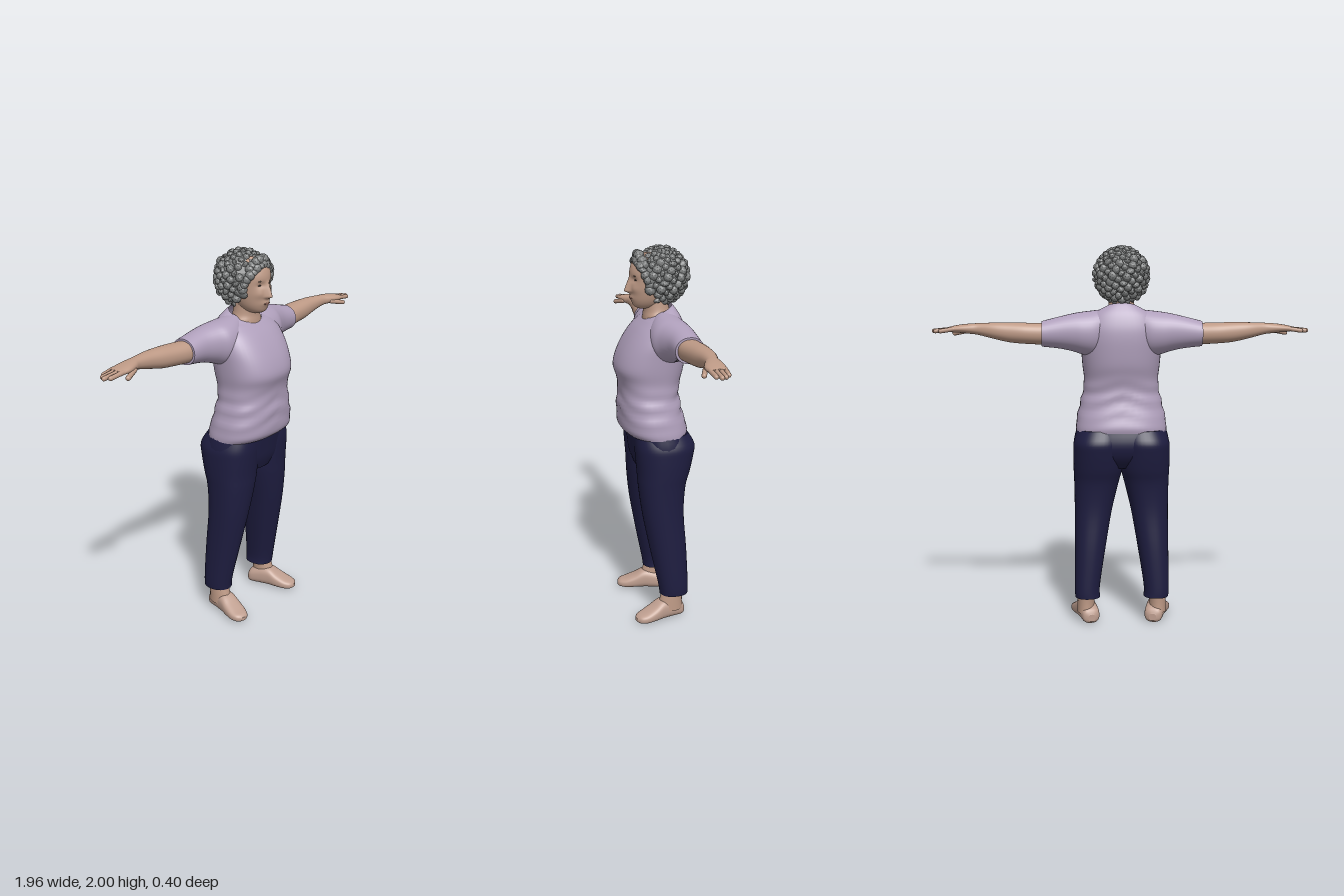
import * as THREE from 'three';

const mat = (name, color, extra = {}) => Object.assign(new THREE.MeshStandardMaterial({ color, ...extra }), { name });
const gauss = (v, c, w) => Math.exp(-(((v - c) / w) ** 2));

// Catmull-Rom blend of rows of numbers
function blend(rows, t) {
  const n = rows.length - 1, i = Math.min(Math.floor(t * n), n - 1), f = t * n - i;
  const at = k => rows[Math.max(0, Math.min(n, k))];
  return rows[i].map((p1, k) => {
    const p0 = at(i - 1)[k], p2 = at(i + 1)[k], p3 = at(i + 2)[k];
    return p1 + 0.5 * f * (p2 - p0 + f * (2 * p0 - 5 * p1 + 4 * p2 - p3 + f * (3 * (p1 - p2) + p3 - p0)));
  });
}

// Skin over oval rings: [position on axis, a0, a1, b0, b1, tilt]; (a, b) = (x,z) on y, (z,y) on x, (y,x) on z
function loft(axis, rows, { exp = 2, steps = 4, seg = 36, warp, capTop = true } = {}) {
  const pos = [], idx = [], n = (rows.length - 1) * steps, W = seg + 1;
  const order = { y: ['x', 'z'], x: ['z', 'y'], z: ['y', 'x'] }[axis];
  const sup = v => Math.sign(v) * Math.abs(v) ** (2 / exp);
  const p = new THREE.Vector3();
  for (let i = 0; i <= n; i++) {
    const [s, a0, a1, b0, b1, tilt = 0] = blend(rows, i / n);
    for (let j = 0; j <= seg; j++) {
      const t = (j % seg) / seg * Math.PI * 2, c = sup(Math.cos(t)), d = sup(Math.sin(t));
      p[axis] = s + tilt * d;
      p[order[0]] = (a0 + a1) / 2 + c * (a1 - a0) / 2;
      p[order[1]] = (b0 + b1) / 2 + d * (b1 - b0) / 2;
      if (warp) warp(p, t);
      pos.push(p.x, p.y, p.z);
      if (i < n && j < seg) {
        const k = i * W + j;
        idx.push(k, k + W, k + 1, k + 1, k + W, k + W + 1);
      }
    }
  }
  // flat end caps with their own corners
  for (const [row, top] of [[0, false], [n, true]]) {
    if (top && !capTop) continue;
    const base = pos.length / 3, mid = [0, 0, 0];
    for (let j = 0; j < seg; j++) for (let k = 0; k < 3; k++) {
      const v = pos[(row * W + j) * 3 + k];
      mid[k] += v / seg;
      pos.push(v);
    }
    pos.push(...mid);
    for (let j = 0; j < seg; j++) {
      const u = base + j, v = base + (j + 1) % seg;
      idx.push(base + seg, ...(top ? [v, u] : [u, v]));
    }
  }
  const g = new THREE.BufferGeometry();
  g.setAttribute('position', new THREE.Float32BufferAttribute(pos, 3));
  g.setIndex(idx);
  g.computeVertexNormals();
  // join the normals along the seam
  const nm = g.attributes.normal;
  for (let i = 0; i <= n; i++) {
    const a = new THREE.Vector3().fromBufferAttribute(nm, i * W);
    a.add(new THREE.Vector3().fromBufferAttribute(nm, i * W + seg)).normalize();
    nm.setXYZ(i * W, a.x, a.y, a.z);
    nm.setXYZ(i * W + seg, a.x, a.y, a.z);
  }
  return g;
}

// Mirrored copy across x = 0 with the corner order put right
function mirrored(geo) {
  const g = geo.clone(), p = g.attributes.position, n = g.attributes.normal, a = g.index.array;
  for (let i = 0; i < p.count; i++) { p.setX(i, -p.getX(i)); n.setX(i, -n.getX(i)); }
  for (let i = 0; i < a.length; i += 3) [a[i], a[i + 1]] = [a[i + 1], a[i]];
  return g;
}

// Rounded finger between two points
function finger(from, to, r) {
  const a = new THREE.Vector3(...from), d = new THREE.Vector3(...to).sub(a), len = d.length();
  const g = new THREE.CapsuleGeometry(r, len - r, 5, 10);
  g.applyQuaternion(new THREE.Quaternion().setFromUnitVectors(new THREE.Vector3(0, 1, 0), d.clone().normalize()));
  return g.translate(...a.addScaledVector(d, 0.5).toArray());
}

const ellipsoid = (x, y, z, rx, ry, rz) => new THREE.SphereGeometry(1, 16, 10).scale(rx, ry, rz).translate(x, y, z);

export function createModel() {
  const root = new THREE.Group();
  const skin = mat('skin', 0xbe9a86), shirt = mat('lilac shirt', 0xaf9fbb, { side: THREE.DoubleSide });
  const navy = mat('navy trousers', 0x1e1d40), grey = mat('grey hair', 0x7f8181, { flatShading: true });
  const shoe = mat('beige shoe', 0xbf9f90), lip = mat('lips', 0x9a6a60);
  const brow = mat('brow', 0x6f5f56), eye = mat('eye', 0x3c322e);
  const add = (name, geo, m) => {
    const mesh = new THREE.Mesh(geo, m);
    mesh.name = name;
    root.add(mesh);
  };
  const pair = (name, geo, m) => { add(name + 'Left', geo, m); add(name + 'Right', mirrored(geo), m); };

  // shirt body with soft waist folds
  const sym = rows => rows.map(([y, w, ...rest]) => [y, -w, w, ...rest]);
  add('shirtBody', loft('y', sym([
    [1.03, .24, -.17, .148, 0], [1.06, .24, -.173, .175, 0], [1.12, .232, -.155, .18, 0],
    [1.2, .212, -.135, .18, 0], [1.26, .2, -.13, .174, 0], [1.32, .198, -.14, .183, 0],
    [1.38, .205, -.155, .2, 0], [1.45, .21, -.163, .182, 0], [1.52, .213, -.166, .145, 0],
    [1.58, .203, -.16, .1, 0], [1.63, .17, -.14, .058, -.012], [1.655, .125, -.115, .045, -.028],
    [1.667, .09, -.1, .042, -.035]]), {
    exp: 2.4, seg: 48, capTop: false,
    warp: p => {
      const f = .004 * gauss(p.y, 1.19, .09);
      p.z += f * Math.sin(p.y * 75 + Math.abs(p.x) * 25);
      p.x += f * Math.sin(p.y * 80) * Math.sign(p.x);
    },
  }), shirt);
  pair('sleeve', loft('x', [
    [.08, -.13, .03, 1.46, 1.672], [.14, -.155, .055, 1.43, 1.665], [.2, -.162, .052, 1.435, 1.658],
    [.25, -.16, .025, 1.452, 1.65], [.32, -.157, 0, 1.468, 1.634], [.415, -.156, -.008, 1.479, 1.61]], { exp: 2.1 }), shirt);

  // trousers: hips and creased legs
  add('trouserHips', loft('y', sym([
    [.84, .13, -.12, .095], [.9, .235, -.165, .115], [.97, .253, -.182, .125], [1.05, .236, -.163, .135]]), { exp: 2.3 }), navy);
  pair('trouserLeg', loft('y', [
    [.14, .117, .25, -.15, 0], [.2, .118, .253, -.15, .008], [.4, .087, .251, -.143, .048],
    [.6, .052, .25, -.131, .086], [.75, .016, .252, -.143, .105], [.83, -.004, .255, -.166, .11],
    [.92, -.01, .256, -.187, .118], [.98, -.01, .252, -.193, .122], [1.04, 0, .225, -.16, .12]], {
    exp: 2.3, seg: 48,
    warp: (p, t) => { p.z += .006 * Math.max(0, Math.sin(t)) ** 30 * gauss(p.y, .4, .35); },
  }), navy);

  // shoes turned slightly outward, with ankles above
  pair('ankle', loft('y', [[.05, .145, .24, -.12, .02], [.11, .148, .238, -.118, .005], [.2, .145, .235, -.125, -.02]]), skin);
  const shoeGeo = loft('z', [
    [-.133, .012, .05, -.02, .02], [-.115, 0, .08, -.046, .046], [-.05, 0, .105, -.05, .05],
    [0, 0, .108, -.05, .052], [.05, 0, .08, -.053, .056], [.1, 0, .057, -.05, .054],
    [.135, .004, .045, -.036, .04], [.15, .012, .032, -.014, .016]], { exp: 2.6 });
  pair('shoe', shoeGeo.rotateY(.25).translate(.195, 0, 0), shoe);

  // arms and hands
  pair('arm', loft('x', [
    [.36, -.14, -.022, 1.492, 1.6], [.42, -.146, -.02, 1.49, 1.6], [.5, -.153, -.03, 1.494, 1.602],
    [.58, -.147, -.04, 1.502, 1.604], [.66, -.138, -.05, 1.52, 1.603], [.74, -.118, -.05, 1.54, 1.6],
    [.78, -.118, -.036, 1.545, 1.598], [.83, -.118, -.02, 1.55, 1.593], [.875, -.113, -.021, 1.553, 1.585],
    [.895, -.1, -.03, 1.558, 1.579]], { exp: 2.2 }), skin);
  [[-.105, .938], [-.08, .966], [-.056, .976], [-.032, .955]].forEach(([z, tip], i) =>
    pair('finger' + (i + 1), finger([.86, 1.571, z], [tip, 1.559, z * .85 - .01], .0115), skin));
  pair('thumb', finger([.79, 1.562, -.04], [.875, 1.545, -.005], .0125), skin);

  // neck and head with nose, eye sockets and cheeks
  add('neck', loft('y', sym([
    [1.6, .1, -.11, .05], [1.64, .088, -.1, .047], [1.67, .072, -.09, .045], [1.72, .066, -.085, .05], [1.77, .066, -.08, .05]])), skin);
  add('head', loft('y', sym([
    [1.682, .03, -.03, .075], [1.695, .052, -.05, .096], [1.725, .072, -.075, .108], [1.77, .086, -.1, .113],
    [1.82, .092, -.11, .115], [1.88, .092, -.11, .114], [1.93, .078, -.1, .093], [1.965, .04, -.06, .05]]), {
    seg: 96, steps: 10,
    warp: p => {
      if (p.z < .03) return;
      const x = Math.abs(p.x);
      const rise = p.y < 1.773 ? gauss(p.y, 1.773, .011) : Math.max(0, 1 - (p.y - 1.773) / .08);
      p.z += .033 * rise * gauss(x, 0, .011 + .007 * rise);
      p.z -= .01 * gauss(x, .036, .02) * gauss(p.y, 1.832, .015);
      p.z += .006 * gauss(x, .045, .022) * gauss(p.y, 1.785, .02);
      p.z += .006 * gauss(x, 0, .03) * gauss(p.y, 1.737, .014);
    },
  }), skin);
  pair('eye', ellipsoid(.036, 1.83, .093, .013, .0045, .006), eye);
  pair('eyebrow', ellipsoid(.038, 1.852, .1, .017, .003, .006).rotateZ(0), brow);
  add('lips', ellipsoid(0, 1.735, .112, .024, .005, .005), lip);

  // curly hair: a full cap covered with faceted curls
  const c = [0, 1.85, -.046], r = [.134, .138, .132];
  add('hairCap', ellipsoid(...c, ...r), grey);
  const hair = new THREE.Group();
  hair.name = 'hairCurls';
  root.add(hair);
  const curl = (x, y, z, s, k) => {
    const m = new THREE.Mesh(new THREE.IcosahedronGeometry(s, 1), grey);
    m.name = 'curl';
    m.position.set(x, y, z);
    m.rotation.set(k * 1.3, k * 2.1, k * .7);
    m.scale.set(1, .85 + .25 * Math.sin(k * 3.7), 1);
    hair.add(m);
  };
  for (let k = 0; k < 190; k++) {
    const v = 1 - 2 * (k + .5) / 190, a = k * 2.39996, h = Math.sqrt(1 - v * v);
    const x = r[0] * h * Math.cos(a), y = c[1] + r[1] * v, z = c[2] + r[2] * h * Math.sin(a);
    const face = z > 0 && Math.abs(x) < .095 && y < 1.92;
    const underChin = y < 1.735 && z > -.03;
    if (!face && !underChin) curl(x * .97, y - .004, z, v > .6 ? .017 : .021 + .004 * Math.sin(k * 5.1), k);
  }
  // fringe curls around the forehead and temples
  for (let k = 0; k <= 16; k++) {
    const t = Math.PI * (k / 16 * 1.16 - .08), s = Math.sin(t);
    curl(.1 * Math.cos(t), 1.815 + .113 * s, .035 + .05 * Math.max(0, s), .025, k + .5);
    if (s > .45) curl(.08 * Math.cos(t), 1.838 + .117 * s, .028 + .045 * s, .027, k + .2);
  }
  return root;
}
